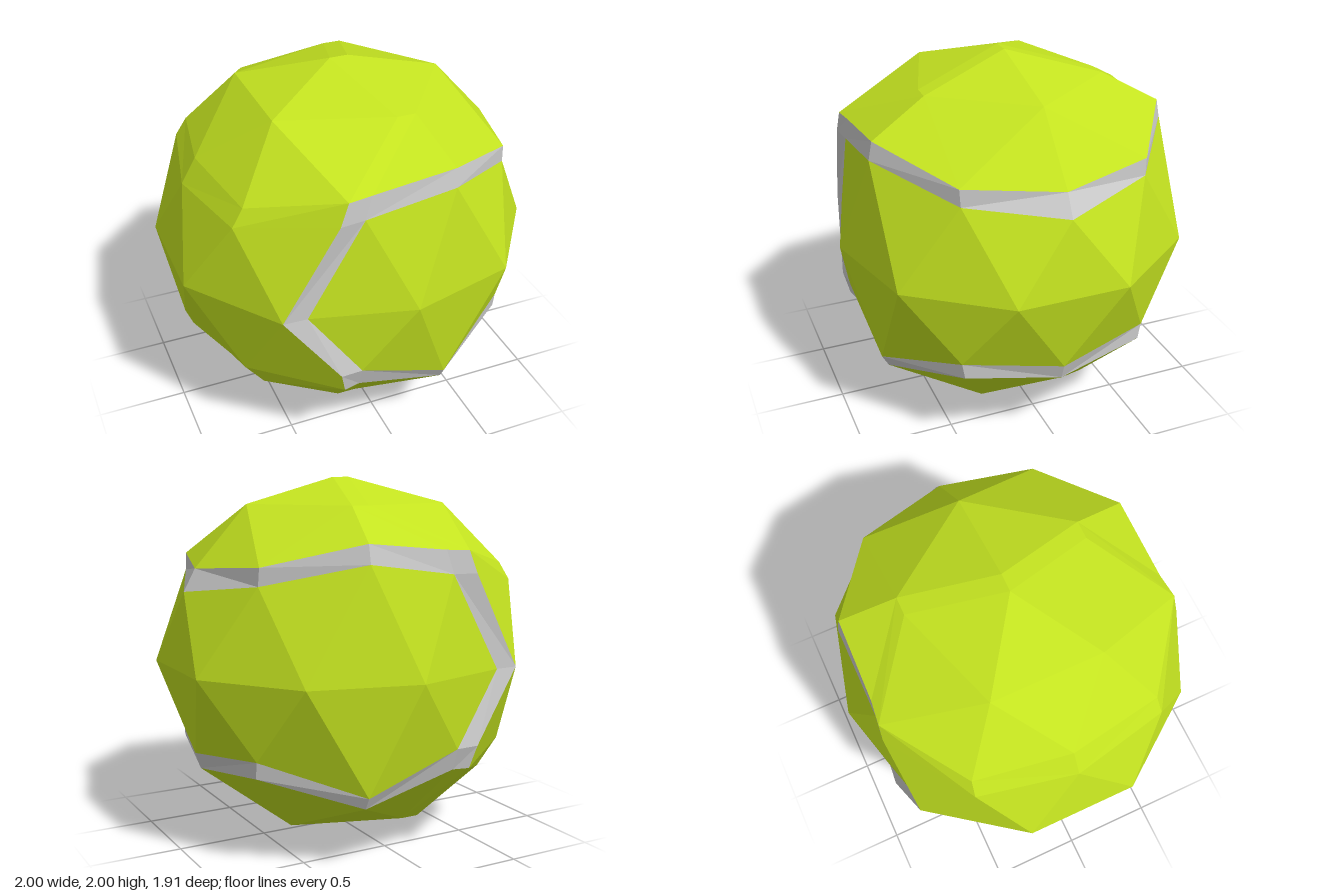
import * as THREE from 'three';

const GREEN = 0xc4e320, GREY = 0xcccccc;

// Flat-shaded mesh from triangles of the z >= 0 half, mirrored in z and turned outwards
function mirroredMesh(name, color, tris) {
  const pos = [];
  const v = (p, s) => new THREE.Vector3(p[0], p[1] + 1, p[2] * s);
  const centre = new THREE.Vector3(0, 1, 0);
  for (const s of [1, -1]) {
    for (const t of tris) {
      const [a, b, c] = t.map(p => v(p, s));
      const n = b.clone().sub(a).cross(c.clone().sub(a));
      const mid = a.clone().add(b).add(c).divideScalar(3).sub(centre);
      const order = n.dot(mid) < 0 ? [a, c, b] : [a, b, c];
      order.forEach(p => pos.push(p.x, p.y, p.z));
    }
  }
  const geo = new THREE.BufferGeometry();
  geo.setAttribute('position', new THREE.Float32BufferAttribute(pos, 3));
  geo.computeVertexNormals();
  const mesh = new THREE.Mesh(geo, new THREE.MeshStandardMaterial({
    color, flatShading: true, side: THREE.DoubleSide,
  }));
  mesh.name = name;
  return mesh;
}

// Triangle builders
const fan = (c, ring) => ring.slice(1).map((p, i) => [c, ring[i], p]);
const zigzag = pts => pts.slice(2).map((p, i) => [pts[i], pts[i + 1], p]);
const band = (a, b) => a.slice(1).flatMap((p, i) => [[a[i], b[i], b[i + 1]], [a[i], b[i + 1], p]]);

export function createModel() {
  const ball = new THREE.Group();
  ball.name = 'ball';

  // Equator: left panel from +x to the seam, right panel from the seam to -x
  const eqLeft = [[1, 0, 0], [1, 0, 0.305], [0.635, 0, 0.805], [0.05, 0, 0.955], [-0.5, 0, 0.81]];
  const eqRight = [[-0.63, 0, 0.805], [-1, 0, 0.305], [-1, 0, 0]];

  // Belt edges next to the seam, above and below the equator
  const upLeft = [[0.94, 0.41, 0], [0.74, 0.475, 0.5], [0.29, 0.59, 0.825], [-0.2, 0.52, 0.825]];
  const upRight = [[-0.335, 0.52, 0.84], [-0.78, 0.44, 0.53], [-0.89, 0.43, 0]];
  const lowLeft = [[0.9, -0.47, 0], [0.77, -0.41, 0.52], [0.29, -0.59, 0.82], [-0.22, -0.39, 0.86]];
  const lowRight = [[-0.34, -0.385, 0.87], [-0.75, -0.48, 0.5], [-0.94, -0.4, 0]];

  // Cap edges on the other side of the seam
  const topLeft = [[0.875, 0.53, 0], [0.735, 0.57, 0.505], [0.29, 0.69, 0.805], [-0.16, 0.645, 0.815]];
  const topRight = [[-0.29, 0.64, 0.83], [-0.72, 0.535, 0.52], [-0.81, 0.565, 0]];
  const botLeft = [[0.87, -0.56, 0], [0.77, -0.5, 0.505], [0.29, -0.655, 0.785], [-0.22, -0.51, 0.82]];
  const botRight = [[-0.31, -0.51, 0.84], [-0.64, -0.64, 0.47], [-0.9, -0.5, 0]];

  // Belt panels
  const frontBelt = (up, eq) => zigzag(eq.flatMap((q, i) => (up[i] ? [q, up[i]] : [q])));
  const rearBelt = (up, eq) => zigzag(eq.flatMap((q, i) => [up[i], q]));
  ball.add(mirroredMesh('leftPanel', GREEN, [
    ...frontBelt(upLeft, eqLeft), ...frontBelt(lowLeft, eqLeft),
  ]));
  ball.add(mirroredMesh('rightPanel', GREEN, [
    ...rearBelt(upRight, eqRight), ...rearBelt(lowRight, eqRight),
    ...band(topRight, upRight), ...band(botRight, lowRight),
  ]));

  // Top cap, with the narrow strip joining its two halves
  const tL = [0.05, 1, 0], tR = [-0.05, 1, 0];
  const t0 = [0.575, 0.86, 0], t1L = [0.21, 0.86, 0.5], t1R = [0.11, 0.86, 0.5];
  const t2 = [-0.48, 0.86, 0.305], t3 = [-0.48, 0.86, 0];
  ball.add(mirroredMesh('topCap', GREEN, [
    ...fan(t0, [topLeft[0], topLeft[1]]),
    ...fan(t1L, [tL, t0, ...topLeft.slice(1)]),
    ...band([tL, t1L, topLeft[3]], [tR, t1R, topRight[0]]),
    ...fan(t2, [tR, t1R, ...topRight, t3, tR]),
  ]));

  // Bottom cap
  const bL = [0.05, -0.97, 0], bR = [-0.05, -1, 0];
  const b0 = [0.475, -0.86, 0], b1 = [0.475, -0.86, 0.305];
  const b2L = [-0.11, -0.86, 0.5], b2R = [-0.21, -0.86, 0.5], b3 = [-0.575, -0.85, 0];
  ball.add(mirroredMesh('bottomCap', GREEN, [
    ...fan(b1, [bL, b0, ...botLeft.slice(0, 3), b2L, bL]),
    ...fan(b2L, [botLeft[2], botLeft[3]]),
    ...band([bL, b2L, botLeft[3]], [bR, b2R, botRight[0]]),
    ...fan(b3, [bR, b2R, botRight[1], botRight[2]]),
    ...fan(b2R, [botRight[0], botRight[1]]),
  ]));

  // Grey seam around the left panel
  ball.add(mirroredMesh('seam', GREY, [
    ...band([...topLeft, topRight[0]], [...upLeft, upRight[0]]),
    ...band([...botLeft, botRight[0]], [...lowLeft, lowRight[0]]),
    ...band([upLeft[3], eqLeft[4], lowLeft[3]], [upRight[0], eqRight[0], lowRight[0]]),
  ]));

  return ball;
}
